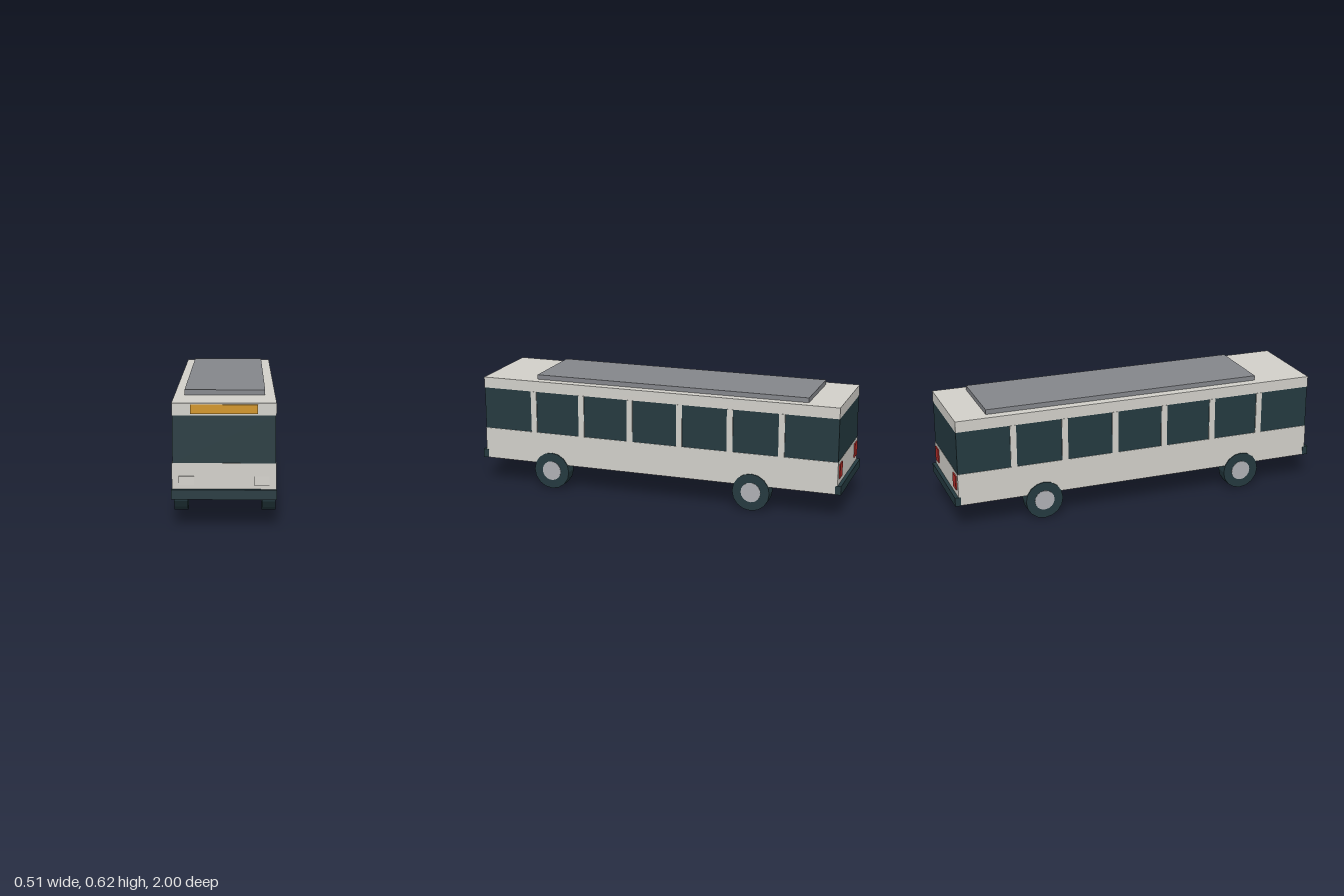
import * as THREE from 'three';

const mat = (name, color, extra = {}) => {
  const m = new THREE.MeshStandardMaterial({ color, ...extra });
  m.name = name;
  return m;
};

export function createModel() {
  const paint = mat('cream paint', 0xd2d0ca);
  const dark = mat('dark glass and rubber', 0x24393f, { flatShading: true });
  const grey = mat('roof grey', 0x84868b);
  const amber = mat('amber sign', 0xd29522);
  const red = mat('tail red', 0xb82e2a);
  const metal = mat('hub metal', 0xafb0b5);
  const lamp = mat('lamp white', 0xd4d2cc);

  const bus = new THREE.Group();
  bus.name = 'bus';

  // Box given by its limits on each axis
  const box = (name, material, [x0, x1], [y0, y1], [z0, z1]) => {
    const mesh = new THREE.Mesh(new THREE.BoxGeometry(x1 - x0, y1 - y0, z1 - z0), material);
    mesh.position.set((x0 + x1) / 2, (y0 + y1) / 2, (z0 + z1) / 2);
    mesh.name = name;
    bus.add(mesh);
  };

  // Body: lower shell, glass band and roof shell
  const W = 0.246, L = 0.981;
  box('lowerBody', paint, [-W, W], [0.137, 0.307], [-L, L]);
  box('windowBand', dark, [-0.243, 0.243], [0.307, 0.534], [-0.98, 0.98]);
  box('upperBody', paint, [-W, W], [0.534, 0.592], [-L, L]);
  box('roofUnit', grey, [-0.197, 0.197], [0.592, 0.617], [-0.81, 0.685]);

  // Window pillars along both sides
  for (let i = 0; i < 6; i++) {
    const z = 0.69 - i * 0.275;
    for (const s of [-1, 1]) {
      const x = [s * 0.24, s * 0.248].sort((a, b) => a - b);
      box('windowPillar', paint, x, [0.307, 0.534], [z - 0.016, z + 0.016]);
    }
  }

  // Bumpers
  box('frontBumper', dark, [-0.248, 0.248], [0.136, 0.183], [0.97, 1]);
  box('rearBumper', dark, [-0.248, 0.248], [0.136, 0.183], [-1, -0.97]);

  // Destination sign, headlights and tail lights
  box('destinationSign', amber, [-0.158, 0.158], [0.541, 0.585], [0.98, 0.987]);
  for (const s of [-1, 1]) {
    const h = s * 0.1775, t = s * 0.19;
    box('headlight', lamp, [h - 0.036, h + 0.036], [0.203, 0.245], [0.98, 0.987]);
    box('tailLight', red, [t - 0.031, t + 0.031], [0.215, 0.29], [-0.987, -0.98]);
  }

  // Wheels: tyre with a hub showing on both faces
  const tyreGeo = new THREE.CylinderGeometry(0.1, 0.1, 0.068, 16).rotateZ(Math.PI / 2);
  const hubGeo = new THREE.CylinderGeometry(0.053, 0.053, 0.072, 16).rotateZ(Math.PI / 2);
  for (const z of [0.592, -0.528]) {
    for (const s of [-1, 1]) {
      const wheel = new THREE.Group();
      wheel.name = (z > 0 ? 'front' : 'rear') + (s > 0 ? 'Left' : 'Right') + 'Wheel';
      const tyre = new THREE.Mesh(tyreGeo, dark);
      tyre.name = 'tyre';
      const hub = new THREE.Mesh(hubGeo, metal);
      hub.name = 'hub';
      wheel.add(tyre, hub);
      wheel.position.set(s * 0.217, 0.1, z);
      bus.add(wheel);
    }
  }
  return bus;
}
